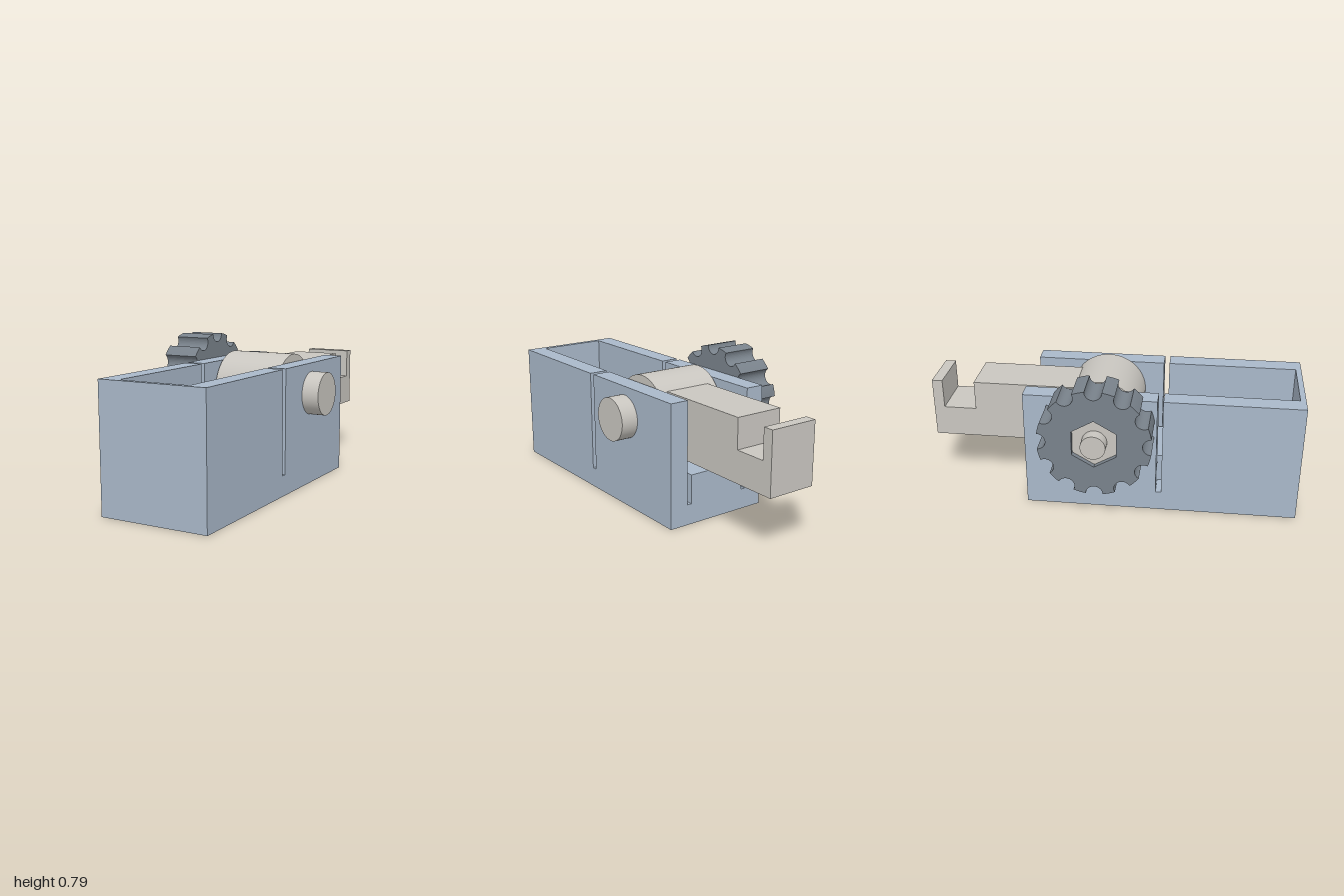
import * as THREE from 'three';

export function createModel() {
  const model = new THREE.Group();
  const housingBlue = new THREE.MeshStandardMaterial({ color: 0xa9b8c9 });
  const warmGrey = new THREE.MeshStandardMaterial({ color: 0xc9c6c0 });
  const slateGrey = new THREE.MeshStandardMaterial({ color: 0x79828b });

  // Axis of the drum, axle and knob
  const AY = 0.495, AZ = -0.0625;

  function add(parent, name, geometry, material) {
    const mesh = new THREE.Mesh(geometry, material);
    mesh.name = name;
    parent.add(mesh);
    return mesh;
  }
  const shapeOf = (pts) => new THREE.Shape(pts.map(([a, b]) => new THREE.Vector2(a, b)));

  // Extrudes a (z, y) profile across x
  function acrossX(shape, x0, x1) {
    const g = new THREE.ExtrudeGeometry(shape, { depth: x1 - x0, bevelEnabled: false, curveSegments: 10 });
    return g.rotateY(-Math.PI / 2).translate(x1, 0, 0);
  }
  // Round bar on the common axis
  function bar(r, x0, x1) {
    const g = new THREE.CylinderGeometry(r, r, x1 - x0, 64);
    return g.rotateZ(Math.PI / 2).translate((x0 + x1) / 2, AY, AZ);
  }
  function box(x0, x1, y0, y1, z0, z1) {
    return new THREE.BoxGeometry(x1 - x0, y1 - y0, z1 - z0)
      .translate((x0 + x1) / 2, (y0 + y1) / 2, (z0 + z1) / 2);
  }

  // Housing: two slotted side walls, grooved floor, end wall
  const housing = new THREE.Group();
  housing.name = 'housing';
  model.add(housing);
  const wallProfile = shapeOf([
    [-0.465, 0], [1, 0], [1, 0.656], [0.273, 0.656], [0.273, 0.11],
    [0.243, 0.11], [0.243, 0.656], [-0.465, 0.656],
  ]);
  add(housing, 'rightWall', acrossX(wallProfile, -0.222, -0.12), housingBlue);
  add(housing, 'leftWall', acrossX(wallProfile, 0.26, 0.362), housingBlue);
  add(housing, 'frontWall', box(-0.12, 0.26, 0, 0.656, 0.97, 1), housingBlue);
  add(housing, 'frontFloor', box(-0.12, 0.26, 0, 0.265, 0.273, 0.97), housingBlue);
  // Floor behind the slots has a groove along each wall
  const grooved = shapeOf([
    [-0.12, 0], [0.26, 0], [0.26, 0.11], [0.235, 0.11], [0.235, 0.265],
    [-0.095, 0.265], [-0.095, 0.11], [-0.12, 0.11],
  ]);
  add(housing, 'rearFloor',
    new THREE.ExtrudeGeometry(grooved, { depth: 0.738, bevelEnabled: false }).translate(0, 0, -0.465), housingBlue);

  // Rocking lever: drum, axle ends and hooked arm
  const lever = new THREE.Group();
  lever.name = 'lever';
  model.add(lever);
  add(lever, 'drum', bar(0.203, -0.114, 0.254), warmGrey);
  add(lever, 'leftAxle', bar(0.115, 0.25, 0.454), warmGrey);
  add(lever, 'rightAxle', bar(0.115, -0.222, -0.11), warmGrey);
  add(lever, 'axleTip', bar(0.065, -0.455, -0.2), warmGrey);
  const armProfile = shapeOf([
    [-1, 0.307], [AZ, 0.307], [AZ, 0.634], [-0.767, 0.634],
    [-0.767, 0.475], [-0.943, 0.475], [-0.943, 0.634], [-1, 0.634],
  ]);
  add(lever, 'arm', acrossX(armProfile, -0.065, 0.2), warmGrey);

  // Hexagonal drive, point upward
  const hex = [];
  for (let i = 0; i < 6; i++) {
    const a = Math.PI / 2 + (i * Math.PI) / 3;
    hex.push([0.132 * Math.cos(a), 0.132 * Math.sin(a)]);
  }
  add(lever, 'hexDrive', acrossX(shapeOf(hex), -0.39, -0.2).translate(0, AY, AZ), warmGrey);

  // Knob with twelve round finger notches and a hexagonal bore
  const R = 0.296, notch = 0.044, half = Math.asin(notch / R);
  const knob = new THREE.Shape();
  for (let i = 0; i < 12; i++) {
    const a = (i * Math.PI) / 6;
    const c = R * Math.cos(half);
    if (i === 0) knob.moveTo(R * Math.cos(a - half), R * Math.sin(a - half));
    knob.absarc(c * Math.cos(a), c * Math.sin(a), notch, a - Math.PI / 2, a + Math.PI / 2, true);
    knob.absarc(0, 0, R, a + half, a + Math.PI / 6 - half, false);
  }
  knob.holes.push(new THREE.Path(hex.map(([a, b]) => new THREE.Vector2(a, b)).reverse()));
  add(model, 'knob', acrossX(knob, -0.418, -0.222).translate(0, AY, AZ), slateGrey);

  return model;
}
